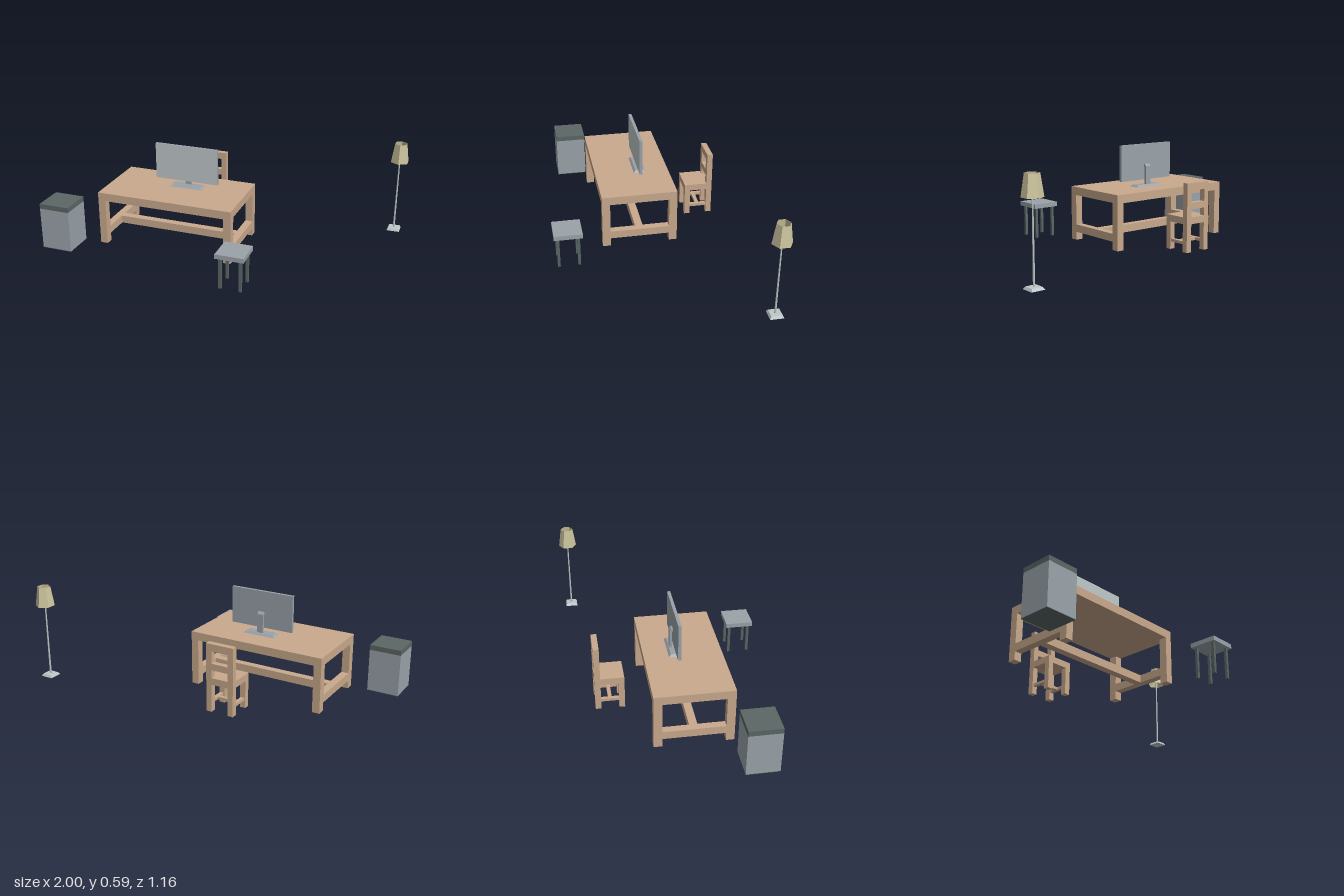
import * as THREE from 'three';

const mat = (name, color) => {
  const m = new THREE.MeshStandardMaterial({ color });
  m.name = name;
  return m;
};

export function createModel() {
  const wood = mat('wood', 0xc9a98c);
  const grey = mat('grey', 0x9aa3a9);
  const dark = mat('darkGrey', 0x5b6665);
  const pale = mat('paleGrey', 0xbfc8ca);
  const cream = mat('creamShade', 0xcdc59d);
  cream.side = THREE.DoubleSide;
  cream.flatShading = true;

  const model = new THREE.Group();
  model.name = 'office';
  const group = (name) => {
    const g = new THREE.Group();
    g.name = name;
    model.add(g);
    return g;
  };
  const add = (parent, name, geometry, material) => {
    const mesh = new THREE.Mesh(geometry, material);
    mesh.name = name;
    parent.add(mesh);
    return mesh;
  };
  // Box given by its limits on each axis
  const box = (parent, name, material, x0, x1, y0, y1, z0, z1) => {
    const mesh = add(parent, name, new THREE.BoxGeometry(x1 - x0, y1 - y0, z1 - z0), material);
    mesh.position.set((x0 + x1) / 2, (y0 + y1) / 2, (z0 + z1) / 2);
    return mesh;
  };
  // Rectangular slab with its top drawn in by an equal inset
  const bevelSlab = (parent, name, material, w, h, d, inset, x, y, z) => {
    let g = new THREE.BoxGeometry(w, h, d);
    const p = g.attributes.position;
    for (let i = 0; i < p.count; i++) {
      if (p.getY(i) > 0) {
        p.setX(i, p.getX(i) - Math.sign(p.getX(i)) * inset);
        p.setZ(i, p.getZ(i) - Math.sign(p.getZ(i)) * inset);
      }
    }
    g.computeVertexNormals();
    add(parent, name, g, material).position.set(x, y + h / 2, z);
  };

  // Desk: thick top, four legs and an H-shaped stretcher
  const desk = group('desk');
  box(desk, 'deskTop', wood, -0.705, 0.135, 0.28, 0.33, -0.17, 0.28);
  for (const x of [-0.705, 0.09]) {
    for (const z of [-0.17, 0.232]) box(desk, 'deskLeg', wood, x, x + 0.045, 0, 0.28, z, z + 0.048);
    box(desk, 'sideStretcher', wood, x, x + 0.045, 0.05, 0.097, -0.122, 0.232);
  }
  box(desk, 'longStretcher', wood, -0.66, 0.09, 0.05, 0.097, 0.032, 0.078);

  // Chair
  const chair = group('chair');
  box(chair, 'chairSeat', wood, -0.315, -0.145, 0.165, 0.205, -0.42, -0.282);
  for (const x of [-0.315, -0.179]) {
    box(chair, 'chairFrontLeg', wood, x, x + 0.034, 0, 0.165, -0.316, -0.282);
    box(chair, 'chairBackPost', wood, x, x + 0.034, 0, 0.405, -0.454, -0.42);
    box(chair, 'chairSideStretcher', wood, x + 0.006, x + 0.028, 0.045, 0.062, -0.42, -0.316);
  }
  box(chair, 'chairCrossStretcher', wood, -0.287, -0.173, 0.045, 0.062, -0.379, -0.357);
  box(chair, 'chairTopRail', wood, -0.281, -0.179, 0.362, 0.405, -0.454, -0.42);
  box(chair, 'chairMiddleRail', wood, -0.281, -0.179, 0.252, 0.29, -0.454, -0.42);
  box(chair, 'chairBackSeatRail', wood, -0.281, -0.179, 0.165, 0.205, -0.454, -0.42);

  // Monitor with pale screen, neck and bevelled foot
  const monitor = group('monitor');
  const panel = box(monitor, 'screen', grey, -0.435, -0.04, 0.37, 0.59, 0.007, 0.025);
  panel.material = [grey, grey, grey, grey, pale, grey];
  bevelSlab(monitor, 'monitorFoot', grey, 0.2, 0.012, 0.072, 0.012, -0.237, 0.33, 0.008);
  const neck = new THREE.Shape([[-0.012, 0.34], [0.001, 0.34], [0.001, 0.448], [0.008, 0.45],
    [0.008, 0.466], [-0.004, 0.463], [-0.012, 0.453]].map(([z, y]) => new THREE.Vector2(-z, y)));
  const neckMesh = add(monitor, 'monitorNeck',
    new THREE.ExtrudeGeometry(neck, { depth: 0.038, bevelEnabled: false }), grey);
  neckMesh.rotation.y = Math.PI / 2;
  neckMesh.position.x = -0.256;

  // Cabinet with dark lid and base plate
  const cabinet = group('cabinet');
  box(cabinet, 'cabinetBody', grey, -1, -0.812, 0.003, 0.255, 0.272, 0.46);
  box(cabinet, 'cabinetLid', dark, -1, -0.812, 0.255, 0.285, 0.272, 0.46);
  box(cabinet, 'cabinetBase', dark, -1, -0.812, 0, 0.003, 0.272, 0.46);

  // Stool
  const stool = group('stool');
  box(stool, 'stoolSeat', grey, 0.15, 0.316, 0.188, 0.215, 0.415, 0.581);
  for (const sx of [-1, 1]) for (const sz of [-1, 1]) {
    const x = 0.233 + sx * 0.059, z = 0.498 + sz * 0.059;
    box(stool, 'stoolLeg', dark, x - 0.008, x + 0.008, 0, 0.188, z - 0.008, z + 0.008);
  }

  // Floor lamp: foot, pole, bulb and open six-sided shade
  const lamp = group('floorLamp');
  lamp.position.set(0.947, 0, -0.524);
  bevelSlab(lamp, 'lampFoot', pale, 0.078, 0.014, 0.078, 0.008, 0, 0, 0);
  add(lamp, 'lampPole', new THREE.CylinderGeometry(0.004, 0.006, 0.486, 8), pale).position.y = 0.257;
  add(lamp, 'lampBulb', new THREE.SphereGeometry(0.014, 10, 8), pale).position.y = 0.505;
  add(lamp, 'lampShade', new THREE.CylinderGeometry(0.039, 0.057, 0.118, 6, 1, true), cream).position.y = 0.513;

  return model;
}
